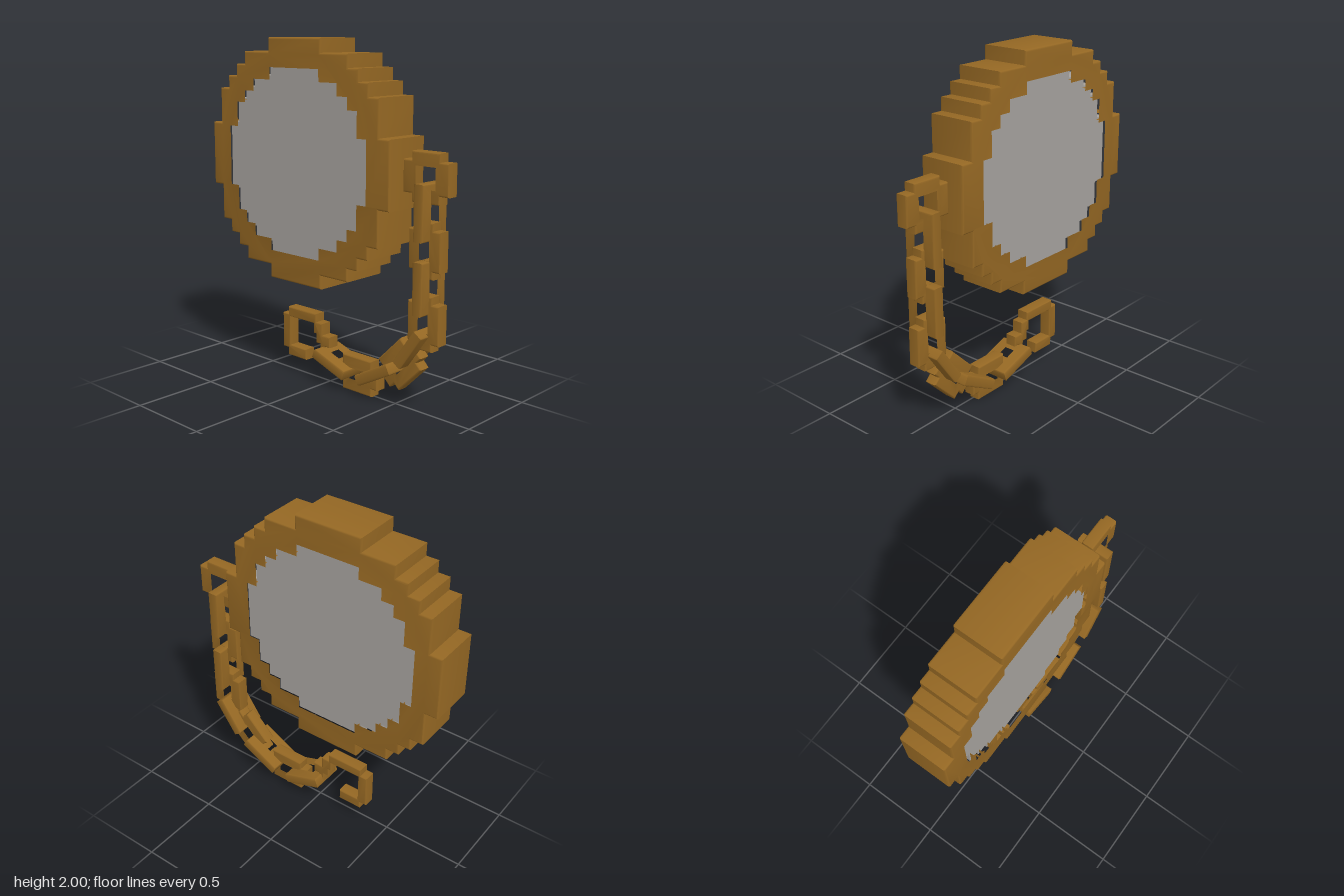
import * as THREE from 'three';
import { toCreasedNormals } from 'three/addons/utils/BufferGeometryUtils.js';

// Stair-stepped, four-way symmetric outline from half widths and half heights
function steppedOutline(widths, heights, grow = 0) {
  const quarter = [];
  widths.forEach((w, i) => {
    quarter.push([w + grow, heights[i] + grow]);
    if (i + 1 < widths.length) quarter.push([w + grow, heights[i + 1] + grow]);
  });
  const flip = (pts, sx, sy) => pts.map(([x, y]) => [x * sx, y * sy]);
  const back = [...quarter].reverse();
  return [...quarter, ...flip(back, 1, -1), ...flip(quarter, -1, -1), ...flip(back, -1, 1)]
    .map(([x, y]) => new THREE.Vector2(x, y));
}

// Slab with softened edges, centred on its own depth
function slab(outline, hole, depth, bevel) {
  const shape = new THREE.Shape(outline);
  if (hole) shape.holes.push(new THREE.Path(hole));
  const geo = new THREE.ExtrudeGeometry(shape, {
    depth: depth - 2 * bevel, bevelEnabled: bevel > 0, bevelSize: bevel,
    bevelThickness: bevel, bevelOffset: -bevel, bevelSegments: 3,
  });
  geo.translate(0, 0, -(depth - 2 * bevel) / 2);
  return toCreasedNormals(geo, 0.7);
}

export function createModel() {
  const gold = new THREE.MeshStandardMaterial({ color: 0x946723 });
  gold.name = 'antique gold';
  const grey = new THREE.MeshStandardMaterial({ color: 0xa5a19d });
  grey.name = 'glass grey';

  // Everything is laid out in a flat XY plane, then turned to face sideways
  const model = new THREE.Group();
  model.name = 'pocketMirrorOnChain';
  model.rotation.y = Math.PI / 2;

  const add = (parent, name, geo, mat, x, y, angle = 0) => {
    const mesh = new THREE.Mesh(geo, mat);
    mesh.name = name;
    mesh.position.set(x, y, 0);
    mesh.rotation.z = angle;
    parent.add(mesh);
  };

  // Case rim and recessed glass
  const outer = steppedOutline([0.207, 0.41, 0.485, 0.557, 0.63, 0.705], [0.7, 0.62, 0.545, 0.475, 0.4, 0.19]);
  const innerW = [0.207, 0.345, 0.42, 0.49, 0.557];
  const innerH = [0.545, 0.475, 0.405, 0.335, 0.19];
  add(model, 'caseRim', slab(outer, steppedOutline(innerW, innerH), 0.29, 0.012), gold, 0.147, 1.3);
  add(model, 'glass', slab(steppedOutline(innerW, innerH, 0.01), null, 0.23, 0), grey, 0.147, 1.3);

  const chain = new THREE.Group();
  chain.name = 'chain';
  chain.position.z = 0.007;
  model.add(chain);

  // Square loop fixed to the case
  add(chain, 'caseLoop', slab(steppedOutline([0.0925, 0.15], [0.135, 0.088]),
    steppedOutline([0.075], [0.07]), 0.075, 0.01), gold, -0.705, 1.295);

  // Flat links: x, y, angle
  const flatLink = slab(steppedOutline([0.058, 0.105], [0.1525, 0.11]),
    steppedOutline([0.043], [0.062]), 0.075, 0.01);
  [
    [-0.705, 0.913, 0], [-0.705, 0.518, 0], [-0.547, 0.25, Math.PI / 4], [-0.235, 0.1075, Math.PI / 2],
  ].forEach(([x, y, a]) => add(chain, 'flatLink', flatLink, gold, x, y, a));

  // Crosswise links: x, y, length, angle
  [
    [-0.711, 1.118, 0.305, 0], [-0.711, 0.715, 0.29, 0], [-0.65, 0.37, 0.245, 0.612],
    [-0.405, 0.167, 0.26, 1.08], [-0.07, 0.145, 0.25, 1.9],
  ].forEach(([x, y, length, a]) => {
    const geo = slab(steppedOutline([0.1035], [length / 2]),
      steppedOutline([0.043], [length / 2 - 0.06]), 0.064, 0.01);
    geo.rotateY(Math.PI / 2);
    add(chain, 'crossLink', geo, gold, x, y, a);
  });

  // Open hook at the end of the chain
  const hook = [
    [-0.02, 0.215], [-0.02, 0.28], [0.04, 0.28], [0.04, 0.35], [0.09, 0.35], [0.09, 0.4],
    [0.325, 0.4], [0.325, 0.355], [0.37, 0.355], [0.37, 0.14], [0.325, 0.14], [0.325, 0.095],
    [0.175, 0.095], [0.175, 0.16], [0.308, 0.16], [0.308, 0.34], [0.11, 0.34], [0.11, 0.28],
    [0.09, 0.28], [0.09, 0.225], [0.055, 0.225], [0.055, 0.165], [0.02, 0.165], [0.02, 0.215],
  ].map(([x, y]) => new THREE.Vector2(x, y));
  add(chain, 'hook', slab(hook, null, 0.075, 0.008), gold, 0, 0);

  const root = new THREE.Group();
  root.name = 'model';
  root.add(model);
  return root;
}
